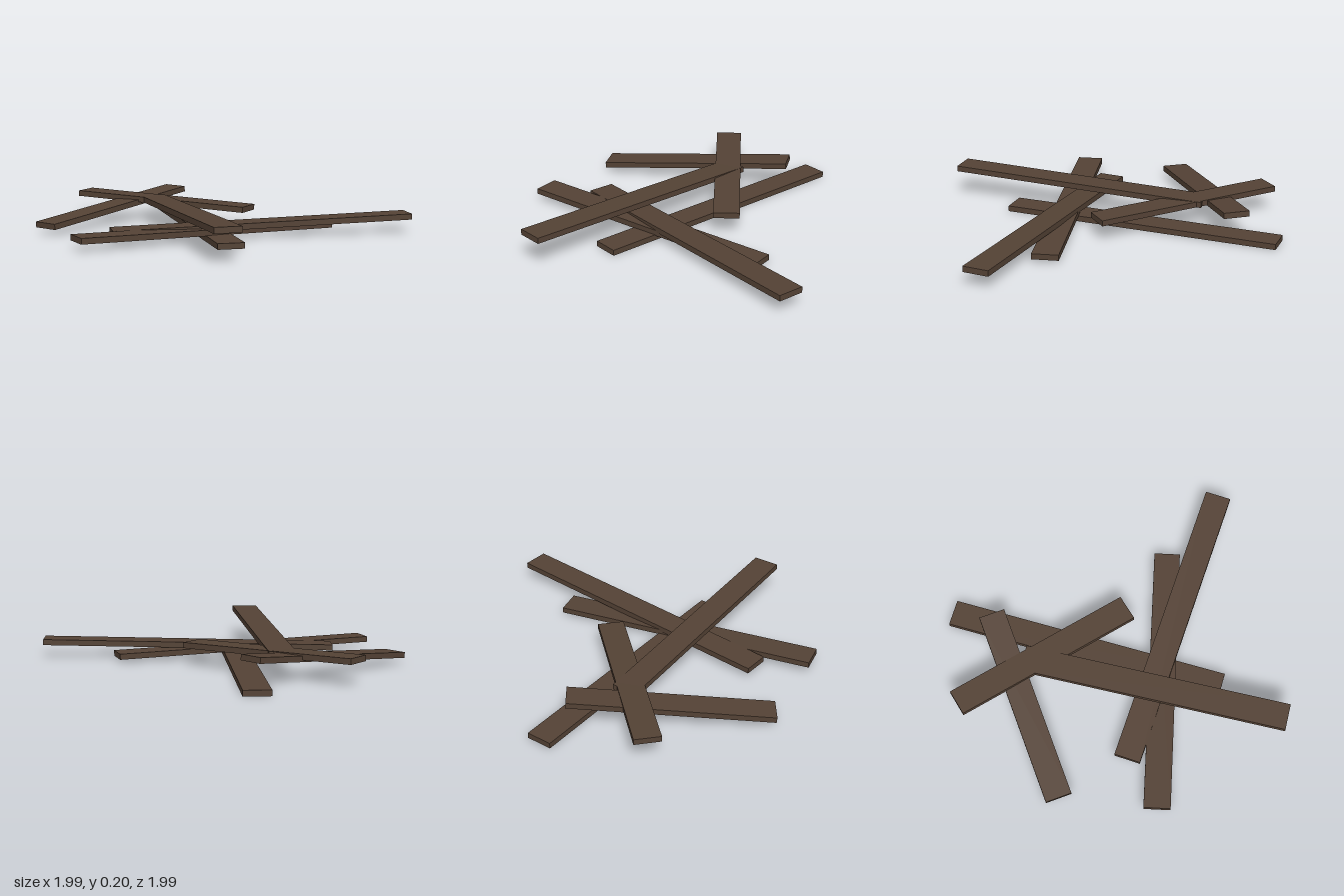
import * as THREE from 'three';

const WIDTH = 0.156, THICKNESS = 0.034;

// Flat board whose centreline runs between two points, kept level across its width
function plank(name, from, to, material) {
  const a = new THREE.Vector3(...from), b = new THREE.Vector3(...to);
  const along = b.clone().sub(a);
  const mesh = new THREE.Mesh(new THREE.BoxGeometry(along.length(), THICKNESS, WIDTH), material);
  along.normalize();
  const across = along.clone().cross(new THREE.Vector3(0, 1, 0)).normalize();
  const up = across.clone().cross(along);
  mesh.quaternion.setFromRotationMatrix(new THREE.Matrix4().makeBasis(along, up, across));
  mesh.position.copy(a).add(b).multiplyScalar(0.5);
  mesh.name = name;
  return mesh;
}

export function createModel() {
  const wood = new THREE.MeshStandardMaterial({ color: 0x544235 });
  wood.name = 'dark wood';

  // Loose pile, from the ground up
  const planks = [
    ['groundPlank', [0.294, 0.018, -0.973], [-0.257, 0.018, 0.617]],
    ['frontLowPlank', [-0.988, 0.063, 0.186], [0.607, 0.035, 0.348]],
    ['frontCrossPlank', [-0.682, 0.053, 0.031], [0.96, 0.098, 0.685]],
    ['backLeaningPlank', [-0.894, 0.053, -0.375], [0.222, 0.156, -0.73]],
    ['backShortPlank', [-0.322, 0.146, -0.946], [0.233, 0.12, 0.08]],
    ['topLongPlank', [-0.518, 0.181, 0.97], [-0.06, 0.133, -0.55]],
  ];

  const group = new THREE.Group();
  group.name = 'plankPile';
  for (const [name, from, to] of planks) group.add(plank(name, from, to, wood));
  return group;
}
